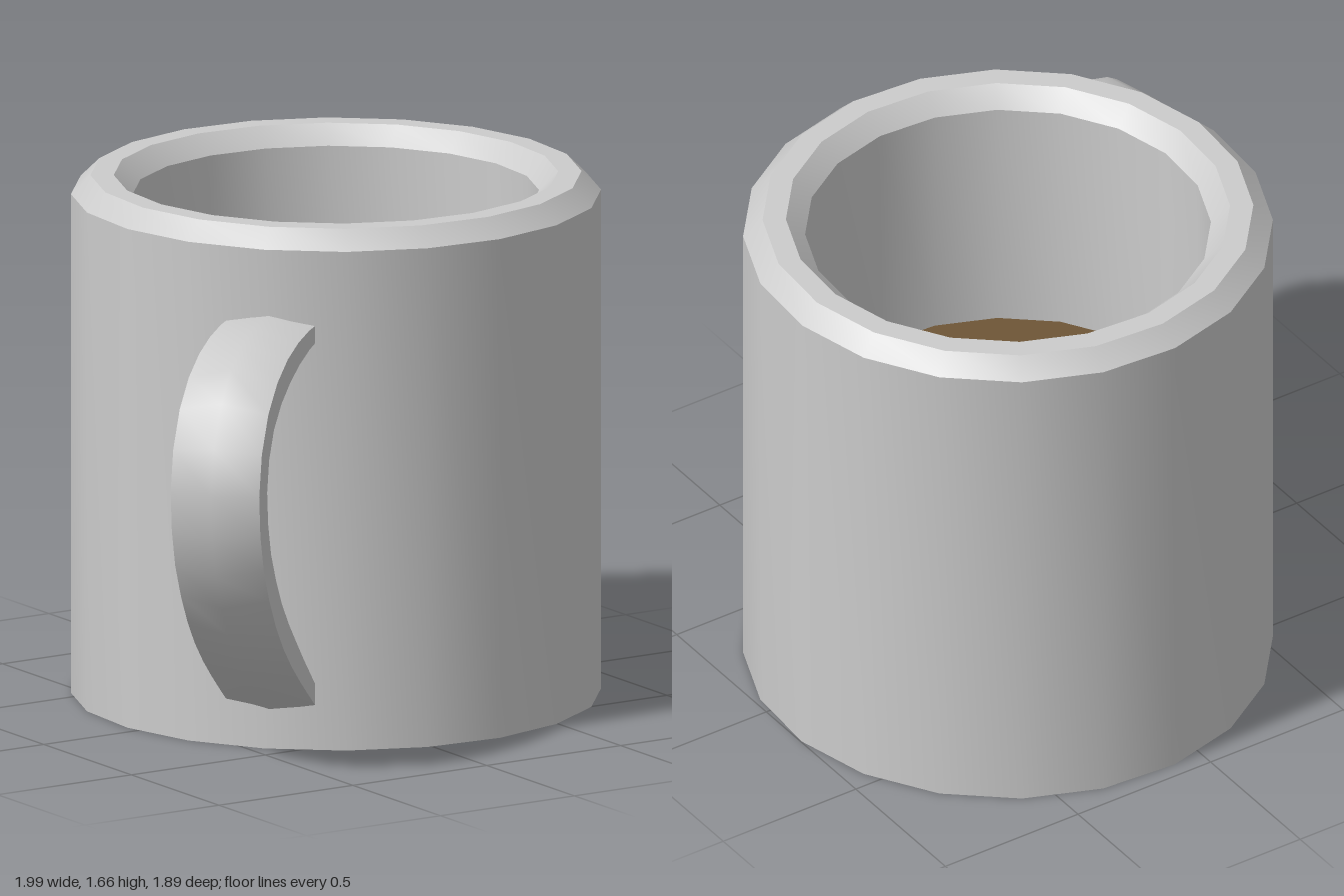
import * as THREE from 'three';
import { toCreasedNormals } from 'three/addons/utils/BufferGeometryUtils.js';

const SIDES = 20;
const TURN = THREE.MathUtils.degToRad(5);
const LIQUID_Y = 0.8;
const INNER_R = 0.635;

// Six-sided bar swept along a curve in the xy plane, thinner towards its ends
function sweptBar(path, segments, halfWidth, halfThick) {
  const positions = [], index = [];
  const section = [[2, 0], [1, 1], [-1, 1], [-2, 0], [-1, -1], [1, -1]];
  for (let i = 0; i <= segments; i++) {
    const u = i / segments;
    const c = path.getPointAt(u), t = path.getTangentAt(u);
    const thick = halfThick * (0.55 + 0.45 * Math.min(1, 1.6 * Math.sin(Math.PI * u)));
    for (const [n, w] of section) {
      positions.push(c.x - t.y * n * thick, c.y + t.x * n * thick, w * halfWidth);
    }
  }
  for (let i = 0; i < segments; i++) {
    for (let j = 0; j < 6; j++) {
      const a = i * 6 + j, b = i * 6 + (j + 1) % 6;
      index.push(a, b, a + 6, b, b + 6, a + 6);
    }
  }
  const geometry = new THREE.BufferGeometry();
  geometry.setAttribute('position', new THREE.Float32BufferAttribute(positions, 3));
  geometry.setIndex(index);
  return toCreasedNormals(geometry, 0.7);
}

export function createModel() {
  const model = new THREE.Group();
  model.name = 'mug';
  const grey = new THREE.MeshStandardMaterial({ color: 0xcccccc });
  const brown = new THREE.MeshStandardMaterial({ color: 0x6e5636 });

  // Everything turns around the cup's axis, which sits off centre
  const mug = new THREE.Group();
  mug.name = 'cup';
  mug.position.set(0.171, 0, -0.122);
  model.add(mug);

  // Outer wall, bevelled rim and inner wall in one profile
  const profile = [
    [0, 0], [0.829, 0], [0.829, 1.6], [0.768, 1.66],
    [0.695, 1.66], [INNER_R, 1.6], [INNER_R, LIQUID_Y],
  ].map(([r, y]) => new THREE.Vector2(r, y));
  const body = new THREE.Mesh(
    toCreasedNormals(new THREE.LatheGeometry(profile, SIDES, TURN), 0.5), grey);
  body.name = 'cupBody';
  mug.add(body);

  // Drink surface
  const drink = new THREE.Mesh(new THREE.CircleGeometry(INNER_R, SIDES, TURN), brown);
  drink.name = 'drink';
  drink.rotation.x = -Math.PI / 2;
  drink.position.y = LIQUID_Y;
  mug.add(drink);

  // Handle, with both ends buried in the wall
  const path = new THREE.CatmullRomCurve3([
    [0.75, 1.335], [0.9, 1.325], [1.07, 1.29], [1.22, 1.225], [1.335, 1.12],
    [1.39, 0.96], [1.355, 0.75], [1.25, 0.57], [1.15, 0.455], [1.0, 0.325],
    [0.815, 0.185], [0.76, 0.145],
  ].map(([x, y]) => new THREE.Vector3(x, y, 0)));
  const handle = new THREE.Mesh(sweptBar(path, 16, 0.144, 0.045), grey);
  handle.name = 'handle';
  handle.position.set(0.012, 0, 0.014);
  handle.rotation.y = THREE.MathUtils.degToRad(-139.2);
  mug.add(handle);

  return model;
}
